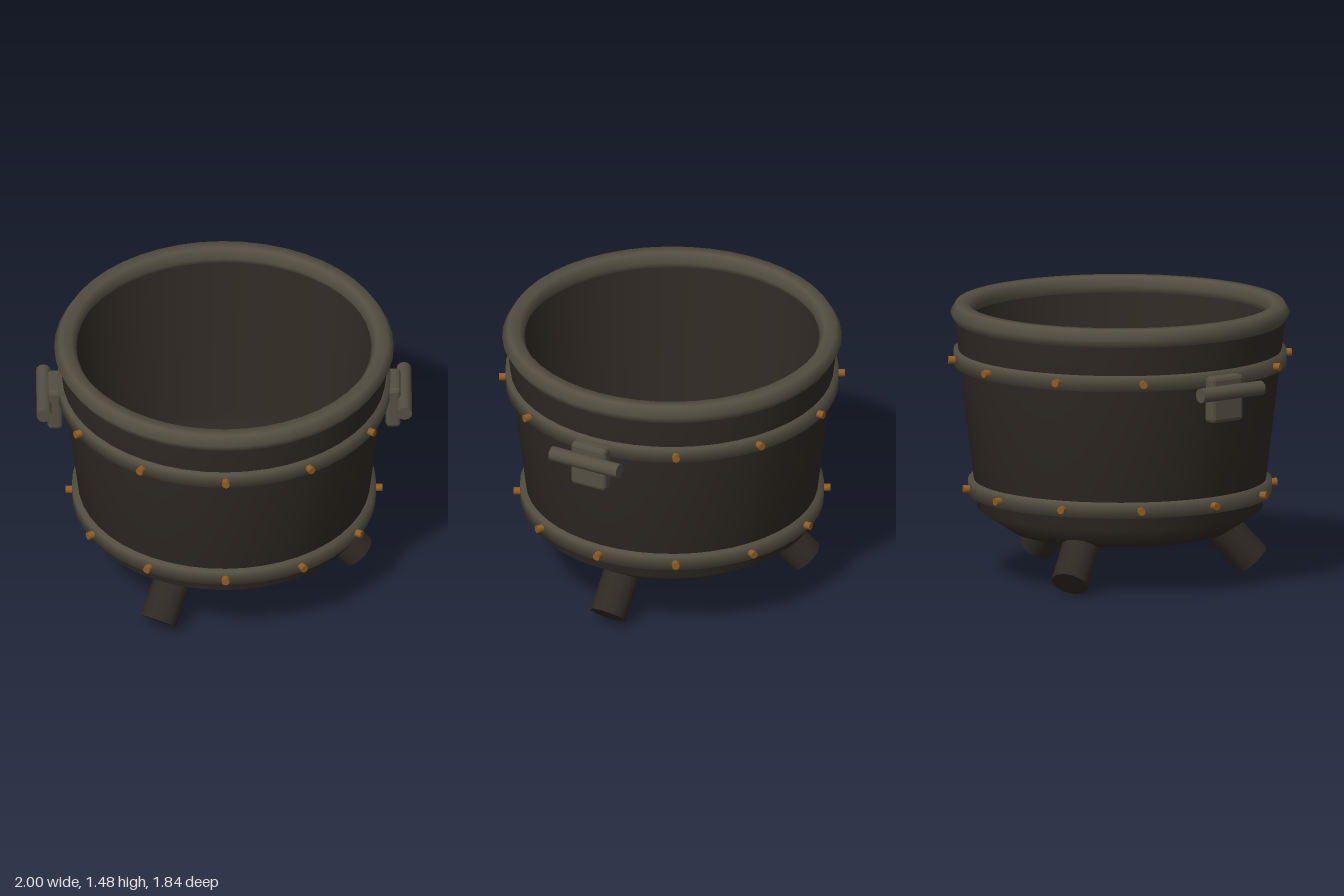
import * as THREE from 'three';
import { RoundedBoxGeometry } from 'three/addons/geometries/RoundedBoxGeometry.js';

const SEGMENTS = 48;
const iron = new THREE.MeshStandardMaterial({ color: 0x2f2923 });
const trim = new THREE.MeshStandardMaterial({ color: 0x544f42 });
const trimFlat = new THREE.MeshStandardMaterial({ color: 0x544f42, flatShading: true });
const bronze = new THREE.MeshStandardMaterial({ color: 0x8f5c22 });

function add(parent, name, geometry, material) {
  const mesh = new THREE.Mesh(geometry, material);
  mesh.name = name;
  parent.add(mesh);
  return mesh;
}

const lathe = (points) =>
  new THREE.LatheGeometry(points.map(([r, y]) => new THREE.Vector2(r, y)), SEGMENTS);

// Flat hoop around the bowl with a ring of rivets
function createBand(name, y, inner, outer, skipSides) {
  const band = new THREE.Group();
  band.name = name;
  const h = 0.041;
  add(band, 'hoop', lathe([[inner, -h], [outer, -h], [outer, h], [inner, h]]), trim);
  const rivet = new THREE.CylinderGeometry(0.021, 0.021, 0.06, 8).rotateZ(-Math.PI / 2);
  rivet.translate(outer + 0.004, 0, 0);
  for (let i = 0; i < 12; i++) {
    if (skipSides && i % 6 === 0) continue; // the handle lugs sit here
    add(band, 'rivet', rivet, bronze).rotation.y = (i * Math.PI) / 6;
  }
  band.position.y = y;
  return band;
}

// Bevelled lug with a horizontal grip bar
function createHandle(name, side) {
  const handle = new THREE.Group();
  handle.name = name;
  const lug = add(handle, 'handleLug', new RoundedBoxGeometry(0.08, 0.25, 0.21, 1, 0.02), trimFlat);
  lug.position.set(side * 0.9, 1.088, 0);
  const bar = add(handle, 'handleBar', new THREE.CylinderGeometry(0.04, 0.04, 0.41, 12), trim);
  bar.rotation.x = Math.PI / 2;
  bar.position.set(side * 0.96, 1.13, 0);
  return handle;
}

export function createModel() {
  const model = new THREE.Group();
  model.name = 'cauldron';

  // Hollow bowl: outside from the base up, then the inside back down
  add(model, 'bowl', lathe([
    [0, 0.26], [0.58, 0.26], [0.76, 0.38], [0.88, 1.39], [0.86, 1.43],
    [0.81, 1.43], [0.7, 0.48], [0.62, 0.39], [0, 0.385],
  ]), iron);

  // Thick faceted lip
  const rim = add(model, 'rim', new THREE.TorusGeometry(0.845, 0.06, 6, SEGMENTS), trim);
  rim.rotation.x = Math.PI / 2;
  rim.position.y = 1.432;

  model.add(createBand('upperBand', 1.192, 0.83, 0.888, true));
  model.add(createBand('lowerBand', 0.493, 0.75, 0.81, false));
  model.add(createHandle('leftHandle', 1), createHandle('rightHandle', -1));

  // Three splayed stub legs
  const legShape = new THREE.CylinderGeometry(0.1, 0.1, 0.356, 12);
  legShape.rotateZ(0.73).translate(0.594, 0.207, 0);
  for (let i = 0; i < 3; i++) {
    add(model, 'leg', legShape, iron).rotation.y = (i * Math.PI * 2) / 3;
  }
  return model;
}
